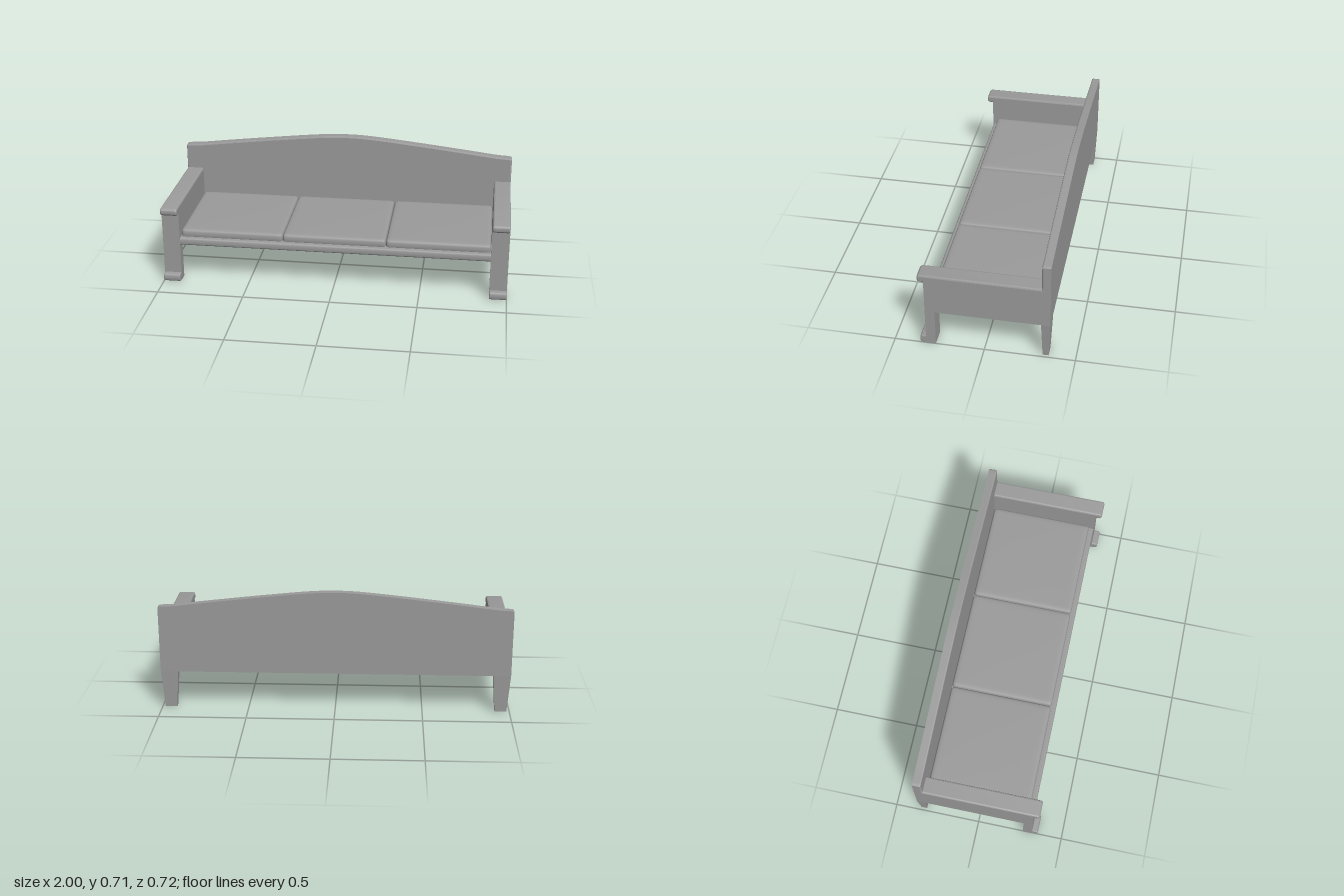
import * as THREE from 'three';
import { mergeVertices, toCreasedNormals } from 'three/addons/utils/BufferGeometryUtils.js';

const material = new THREE.MeshStandardMaterial({ color: 0x9b9b9b });

function add(parent, name, geometry) {
  const mesh = new THREE.Mesh(geometry, material);
  mesh.name = name;
  parent.add(mesh);
  return mesh;
}

// Box given by its low and high corners
function block(x0, x1, y0, y1, z0, z1) {
  return new THREE.BoxGeometry(x1 - x0, y1 - y0, z1 - z0)
    .translate((x0 + x1) / 2, (y0 + y1) / 2, (z0 + z1) / 2);
}

// Bar with a rounded front, profiled in z and y, running from x0 to x1
function roundedBar(x0, x1, y0, y1, z0, z1, r, bevel) {
  const shape = new THREE.Shape();
  shape.moveTo(z0, y0);
  shape.lineTo(z1 - r, y0);
  shape.absarc(z1 - r, y0 + r, r, -Math.PI / 2, 0);
  shape.absarc(z1 - r, y1 - r, r, 0, Math.PI / 2);
  shape.lineTo(z0, y1);
  const geometry = new THREE.ExtrudeGeometry(shape, {
    depth: x1 - x0 - 2 * bevel, curveSegments: 6, bevelEnabled: bevel > 0,
    bevelThickness: bevel, bevelSize: bevel, bevelOffset: -bevel, bevelSegments: 2,
  });
  geometry.rotateY(-Math.PI / 2).translate(x1 - bevel, 0, 0);
  return toCreasedNormals(geometry, 0.35);
}

// Soft cushion: box with rounded edges and a slightly crowned top
function cushionGeometry(w, h, d, r) {
  const box = new THREE.BoxGeometry(2, 2, 2, 20, 8, 20);
  box.deleteAttribute('normal');
  box.deleteAttribute('uv');
  const geometry = mergeVertices(box);
  const pos = geometry.attributes.position;
  const ease = (u) => Math.sign(u) * (1 - (1 - Math.abs(u)) ** 2);
  const half = new THREE.Vector3(w / 2, h / 2, d / 2);
  const inner = half.clone().subScalar(r);
  const p = new THREE.Vector3();
  for (let i = 0; i < pos.count; i++) {
    p.fromBufferAttribute(pos, i);
    const u = ease(p.x), v = ease(p.y), t = ease(p.z);
    p.set(u, v, t).multiply(half);
    const core = p.clone().clamp(inner.clone().negate(), inner);
    p.sub(core).setLength(r).add(core);
    if (v > 0) p.y += 0.003 * v * (1 - u * u) * (1 - t * t);
    pos.setXYZ(i, p.x, p.y, p.z);
  }
  geometry.computeVertexNormals();
  return geometry;
}

// Outline of the arched backrest
function backShape() {
  const crest = [[0.97, 0.614], [0.9, 0.619], [0.7, 0.643], [0.4, 0.677], [0.15, 0.702], [0, 0.708]];
  const points = [...crest, ...crest.slice(0, -1).reverse().map(([x, y]) => [-x, y])]
    .map(([x, y]) => new THREE.Vector2(x, y));
  const shape = new THREE.Shape();
  shape.moveTo(-1, 0.222);
  shape.lineTo(1, 0.222);
  shape.lineTo(1, 0.607);
  shape.quadraticCurveTo(0.997, 0.613, 0.97, 0.614);
  shape.splineThru(points.slice(1));
  shape.quadraticCurveTo(-0.997, 0.613, -1, 0.607);
  shape.closePath();
  return shape;
}

// Back leg narrowing toward the floor
function taperedLeg() {
  const geometry = new THREE.BoxGeometry(0.1, 0.222, 0.05);
  const pos = geometry.attributes.position;
  for (let i = 0; i < pos.count; i++) {
    if (pos.getY(i) < 0) {
      pos.setX(i, pos.getX(i) * 0.68);
      pos.setZ(i, pos.getZ(i) * 0.66);
    }
  }
  geometry.computeVertexNormals();
  return geometry;
}

export function createModel() {
  const sofa = new THREE.Group();
  sofa.name = 'sofa';

  // Backrest: square-edged slab with a softened front
  const back = new THREE.Group();
  back.name = 'backrest';
  sofa.add(back);
  const slab = new THREE.ExtrudeGeometry(backShape(), { depth: 0.035, bevelEnabled: false, curveSegments: 6 });
  add(back, 'backSlab', toCreasedNormals(slab, 0.35)).position.z = -0.36;
  const front = new THREE.ExtrudeGeometry(backShape(), {
    depth: 0.022, curveSegments: 6, bevelThickness: 0.008, bevelSize: 0.008, bevelOffset: -0.008, bevelSegments: 2,
  });
  add(back, 'backFront', toCreasedNormals(front, 0.35)).position.z = -0.341;

  // Seat base with a rounded front lip
  add(sofa, 'seatBase', roundedBar(-0.91, 0.91, 0.222, 0.266, -0.33, 0.32, 0.012, 0));

  // Three seat cushions
  for (const i of [-1, 0, 1]) {
    add(sofa, 'cushion', cushionGeometry(0.598, 0.055, 0.602, 0.02)).position.set(i * 0.599, 0.282, -0.009);
  }

  // Sides: panel, armrest, front leg with foot, back leg
  for (const s of [1, -1]) {
    const x0 = s > 0 ? 0.9 : -1, x1 = x0 + 0.1;
    const side = new THREE.Group();
    side.name = s > 0 ? 'leftSide' : 'rightSide';
    sofa.add(side);
    add(side, 'sidePanel', block(x0, x1, 0.222, 0.45, -0.335, 0.324));
    add(side, 'armrest', roundedBar(x0, x1, 0.419, 0.463, -0.335, 0.361, 0.017, 0.01));
    add(side, 'frontLeg', block(x0, x1, 0, 0.23, 0.27, 0.324));
    add(side, 'frontFoot', roundedBar(x0, x1, 0.001, 0.047, 0.29, 0.358, 0.015, 0.006));
    add(side, 'backLeg', taperedLeg()).position.set(s * 0.95, 0.111, -0.335);
  }
  return sofa;
}
